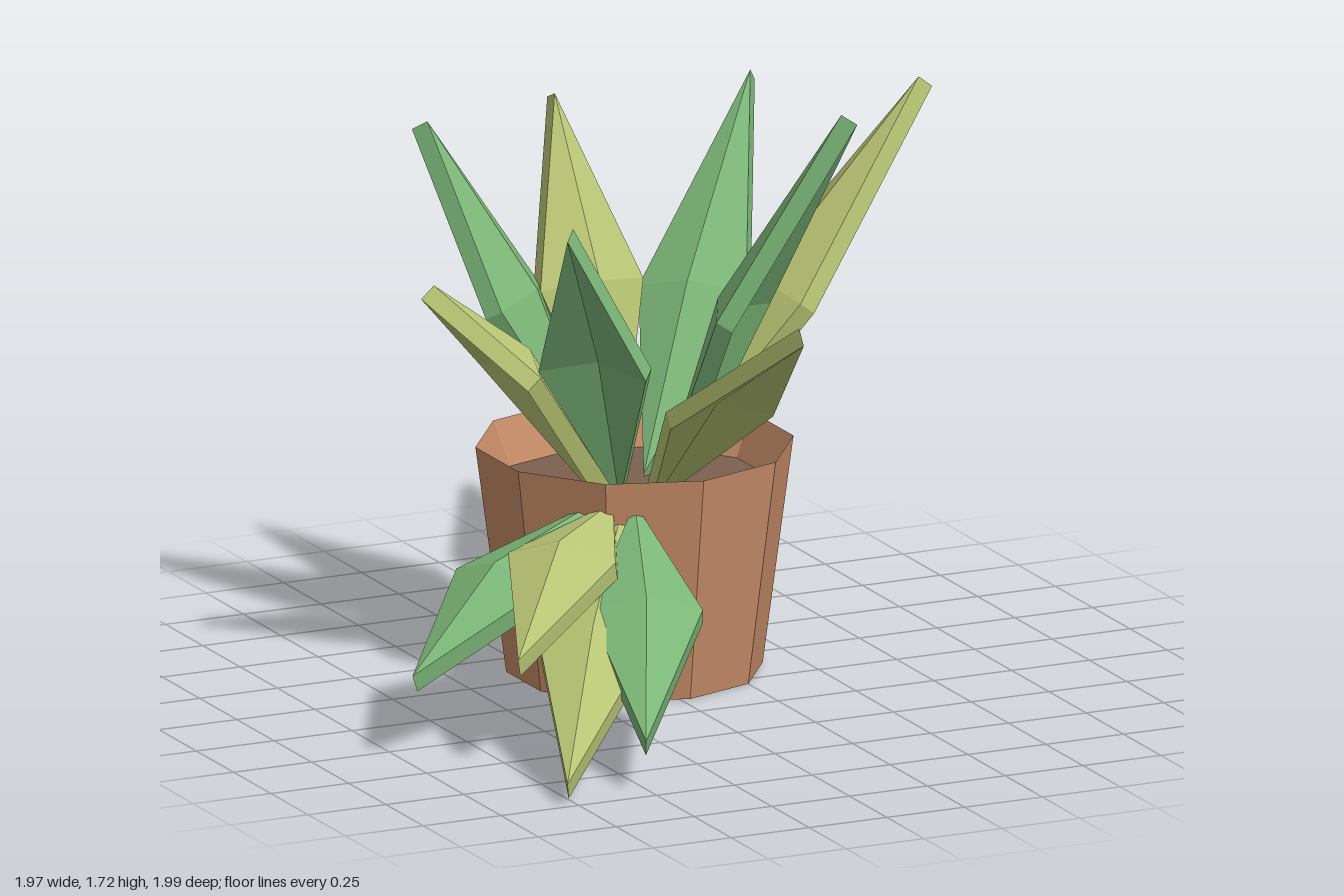
import * as THREE from 'three';

const V = (x, y, z) => new THREE.Vector3(x, y, z);

// Thick diamond-shaped leaf, folded along its midrib and bent at its widest point
function leafGeometry(base, mid, tip, halfWidth, ridge = 0.06, thick = 0.055) {
  const dir = tip.clone().sub(base).normalize();
  const side = dir.clone().cross(V(0, 1, 0)).normalize();
  const up = side.clone().cross(dir);
  const lift = (p, h) => p.clone().addScaledVector(up, h);
  const rim = [
    base,
    mid.clone().addScaledVector(side, halfWidth),
    lift(tip, thick / 2),
    mid.clone().addScaledVector(side, -halfWidth),
  ];
  const under = rim.map((p) => lift(p, -thick));
  const crest = lift(mid, ridge);
  const hollow = lift(crest, -thick);
  const tris = [];
  for (let i = 0; i < 4; i++) {
    const j = (i + 1) % 4;
    tris.push(rim[i], rim[j], crest); // upper face
    tris.push(under[j], under[i], hollow); // underside
    tris.push(under[i], under[j], rim[j], under[i], rim[j], rim[i]); // edge
  }
  const geometry = new THREE.BufferGeometry().setFromPoints(tris);
  geometry.computeVertexNormals();
  return geometry;
}

export function createModel() {
  const model = new THREE.Group();
  model.name = 'pottedPlant';

  const material = (name, color) => {
    const m = new THREE.MeshStandardMaterial({ color, flatShading: true });
    m.name = name;
    return m;
  };
  const terracotta = material('terracotta', 0xc58b67);
  const earth = material('earth', 0x7c604d);
  const green = material('leafGreen', 0x7bb577);
  const olive = material('leafOlive', 0xb8c474);

  const add = (parent, name, geometry, mat) => {
    const mesh = new THREE.Mesh(geometry, mat);
    mesh.name = name;
    parent.add(mesh);
    return mesh;
  };

  // Ten-sided pot with a sloping inner rim, filled with soil
  const cx = 0.03, cz = -0.255;
  const profile = [[0, 0], [0.375, 0], [0.465, 0.68], [0.41, 0.55]]
    .map(([r, y]) => new THREE.Vector2(r, y));
  add(model, 'pot', new THREE.LatheGeometry(profile, 10), terracotta).position.set(cx, 0, cz);
  const soil = new THREE.CircleGeometry(0.412, 10, Math.PI / 2).rotateX(-Math.PI / 2);
  add(model, 'soil', soil, earth).position.set(cx, 0.55, cz);

  // Main rosette: eight leaves, [mid radius, mid height, tip radius, tip height]
  const rosette = new THREE.Group();
  rosette.name = 'mainRosette';
  model.add(rosette);
  [
    [0.555, 0.93, 1.12, 1.28],
    [0.31, 1.11, 0.66, 1.71],
    [0.455, 1.08, 0.935, 1.65],
    [0.505, 1.0, 1.03, 1.51],
    [0.285, 1.08, 0.56, 1.58],
    [0.35, 1.08, 0.66, 1.57],
    [0.38, 0.96, 0.665, 1.21],
    [0.32, 1.0, 0.56, 1.45],
  ].forEach(([midR, midY, tipR, tipY], i) => {
    const a = (i * Math.PI) / 4;
    const at = (r, y) => V(cx + r * Math.sin(a), y, cz + r * Math.cos(a));
    const geometry = leafGeometry(at(0.08, 0.56), at(midR, midY), at(tipR, tipY), 0.165);
    add(rosette, 'leaf' + (i + 1), geometry, i % 2 ? green : olive);
  });

  // Offshoot: four leaves drooping through the wall of the pot
  const offshoot = new THREE.Group();
  offshoot.name = 'droopingOffshoot';
  model.add(offshoot);
  [
    [V(-0.2, 0.6, 0.0), V(-0.6, 0.45, 0.16), V(-0.97, 0.23, 0.36), green],
    [V(-0.18, 0.6, 0.04), V(-0.45, 0.52, 0.26), V(-0.75, 0.31, 0.6), olive],
    [V(-0.16, 0.58, 0.06), V(-0.45, 0.33, 0.48), V(-0.775, 0.04, 0.98), olive],
    [V(-0.13, 0.6, 0.08), V(-0.29, 0.4, 0.49), V(-0.51, 0.13, 0.95), green],
  ].forEach(([base, mid, tip, mat], i) => {
    add(offshoot, 'droopingLeaf' + (i + 1), leafGeometry(base, mid, tip, 0.165), mat);
  });

  return model;
}
